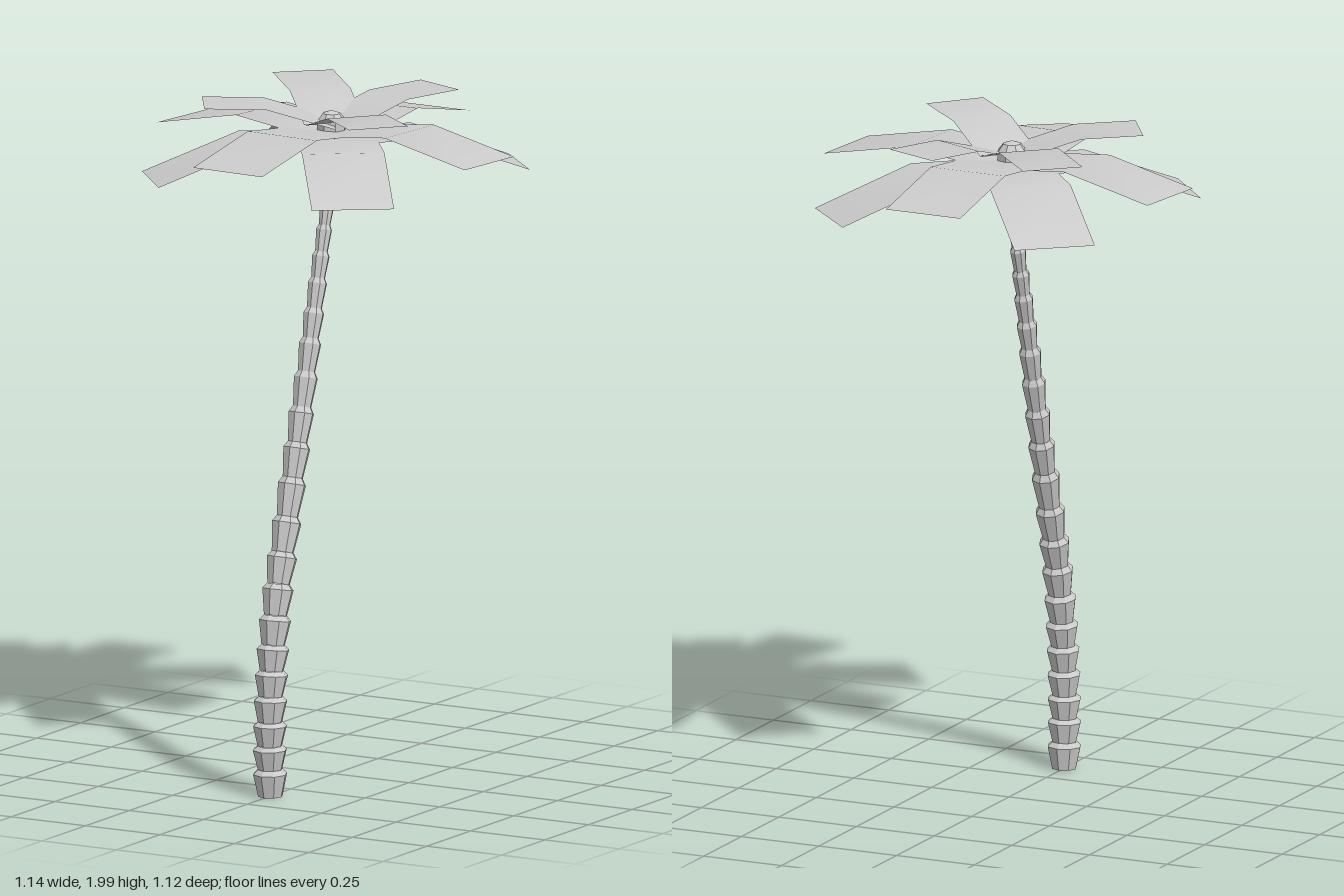
import * as THREE from 'three';

const bark = new THREE.MeshStandardMaterial({ color: 0xcccccc, flatShading: true });
const leaf = new THREE.MeshStandardMaterial({ color: 0xcccccc, side: THREE.DoubleSide });
const UP = new THREE.Vector3(0, 1, 0);

// One trunk ring: flares upward, then a short bevel back to the next neck
function trunkRing(from, to, neck, wide, nextNeck, capped) {
  const h = from.distanceTo(to);
  const profile = [[neck, 0], [wide, h * 0.83], [nextNeck, h]];
  if (capped) profile.unshift([0, 0]);
  const geo = new THREE.LatheGeometry(profile.map(([r, y]) => new THREE.Vector2(r, y)), 8);
  const mesh = new THREE.Mesh(geo, bark);
  mesh.position.copy(from);
  mesh.quaternion.setFromUnitVectors(UP, to.clone().sub(from).normalize());
  return mesh;
}

// A flat frond strip bent once, running from the crown centre to its tip
function frond(name, [x, z], width, rootY, bendR, bendY, tipY) {
  const geo = new THREE.PlaneGeometry(width, 1, 1, 2);
  geo.rotateX(Math.PI / 2).rotateZ(Math.PI);
  const pos = geo.attributes.position;
  const reach = Math.hypot(x, z);
  for (let i = 0; i < pos.count; i++) {
    const step = Math.round((pos.getZ(i) + 0.5) * 2);
    pos.setZ(i, [0, bendR, reach][step]);
    pos.setY(i, [rootY, bendY, tipY][step]);
  }
  geo.computeVertexNormals();
  const mesh = new THREE.Mesh(geo, leaf);
  mesh.name = name;
  mesh.rotation.y = Math.atan2(x, z);
  return mesh;
}

export function createModel() {
  const model = new THREE.Group();

  // Leaning trunk, rings getting longer to the middle and thinner to the top
  const trunk = new THREE.Group();
  trunk.name = 'trunk';
  const lean = new THREE.CatmullRomCurve3([
    [0, 0.367], [0.2, 0.37], [0.4, 0.357], [0.6, 0.325], [0.8, 0.272], [1.0, 0.217],
    [1.2, 0.165], [1.4, 0.115], [1.6, 0.065], [1.8, 0.018], [1.9, 0.005],
  ].map(([y, z]) => new THREE.Vector3(0, y, z)));
  const heights = [0, 0.08, 0.15, 0.22, 0.295, 0.37, 0.445, 0.53, 0.62, 0.71, 0.81, 0.92, 1.02,
    1.12, 1.22, 1.315, 1.4, 1.485, 1.56, 1.635, 1.7, 1.755, 1.805, 1.85, 1.89];
  const joints = heights.map((y) => {
    let a = 0, b = 1;
    for (let i = 0; i < 20; i++) {
      const m = (a + b) / 2;
      if (lean.getPoint(m).y < y) a = m; else b = m;
    }
    return lean.getPoint(a);
  });
  const radius = (y) => 0.051 * (1 - 0.72 * (y / 1.9) ** 2);
  for (let i = 0; i < joints.length - 1; i++) {
    const a = joints[i], b = joints[i + 1];
    trunk.add(trunkRing(a, b, radius(a.y) * 0.72, radius(b.y), radius(b.y) * 0.72, i === 0));
  }
  model.add(trunk);

  // Crown heart
  const heart = new THREE.Mesh(new THREE.SphereGeometry(0.046, 8, 5), bark);
  heart.name = 'crownHeart';
  heart.position.set(-0.007, 1.919, 0.005);
  model.add(heart);

  // Three layers of fronds: tip positions as [x, z]
  const crown = new THREE.Group();
  crown.name = 'crown';
  for (const tip of [[0.005, -0.563], [0.555, 0.06], [-0.035, 0.553], [-0.555, -0.075]])
    crown.add(frond('middleFrond', tip, 0.24, 1.905, 0.27, 1.935, 1.876));
  for (const tip of [[0.39, -0.395], [0.32, 0.44], [-0.405, 0.365], [-0.352, -0.425]])
    crown.add(frond('lowerFrond', tip, 0.24, 1.885, 0.26, 1.89, 1.782));
  for (const tip of [[0.142, -0.362], [0.302, 0.262], [-0.32, 0.207], [-0.3, -0.33]])
    crown.add(frond('upperFrond', tip, 0.18, 1.925, 0.2, 1.985, 1.99));
  model.add(crown);

  return model;
}
